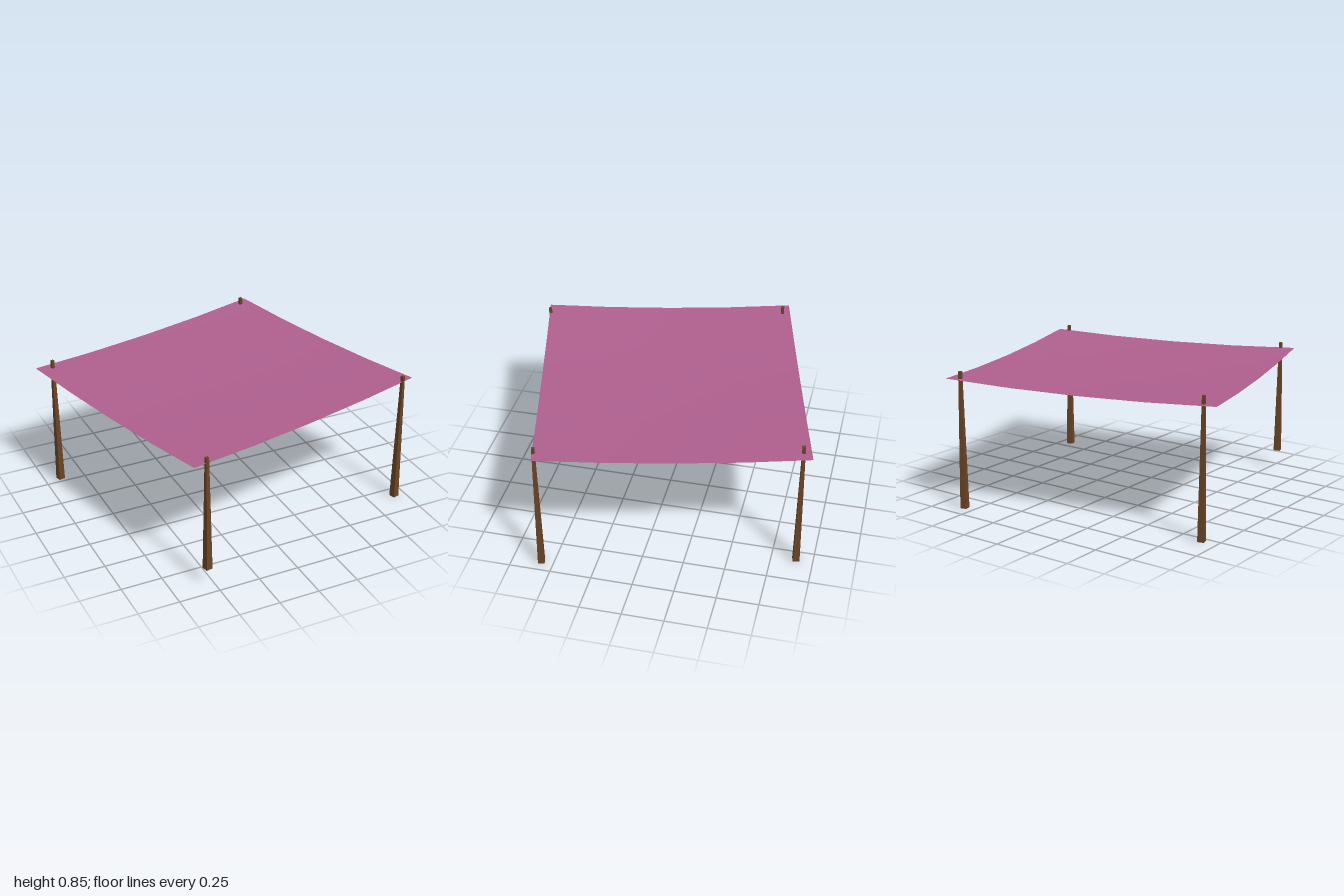
import * as THREE from 'three';

export function createModel() {
  const model = new THREE.Group();
  const turn = 0.235; // the whole shelter is turned slightly about the vertical
  const wood = new THREE.MeshStandardMaterial({ color: 0x6b4526, flatShading: true });
  const cloth = new THREE.MeshStandardMaterial({ color: 0xb0608f, side: THREE.DoubleSide });

  // Sagging cloth: corners blended across a grid, dipping toward the middle
  const corners = [[-1, 0.8, -0.57], [0.63, 0.804, -0.96], [-0.63, 0.815, 0.955], [1, 0.813, 0.565]]
    .map((c) => new THREE.Vector3(...c));
  const geometry = new THREE.PlaneGeometry(1, 1, 4, 4);
  const pos = geometry.attributes.position;
  for (let i = 0; i < pos.count; i++) {
    const u = pos.getX(i) + 0.5;
    const v = 0.5 - pos.getY(i);
    const back = corners[0].clone().lerp(corners[1], u);
    const front = corners[2].clone().lerp(corners[3], u);
    const p = back.lerp(front, v);
    p.y -= 0.022 * (4 * u * (1 - u) + 4 * v * (1 - v));
    pos.setXYZ(i, p.x, p.y, p.z);
  }
  geometry.computeVertexNormals();
  const canopy = new THREE.Mesh(geometry, cloth);
  canopy.name = 'canopy';
  model.add(canopy);

  // Tapered square poles; the front right one is shorter at the foot
  const poles = [
    ['backRightPole', -0.9, -0.543, 0],
    ['backLeftPole', 0.57, -0.898, 0],
    ['frontLeftPole', 0.925, 0.575, 0],
    ['frontRightPole', -0.543, 0.928, 0.12],
  ];
  const top = 0.845;
  for (const [name, x, z, foot] of poles) {
    const shape = new THREE.CylinderGeometry(0.0125, 0.0283, top - foot, 4);
    shape.rotateY(Math.PI / 4 + turn);
    const pole = new THREE.Mesh(shape, wood);
    pole.position.set(x, (top + foot) / 2, z);
    pole.name = name;
    model.add(pole);
  }
  return model;
}
